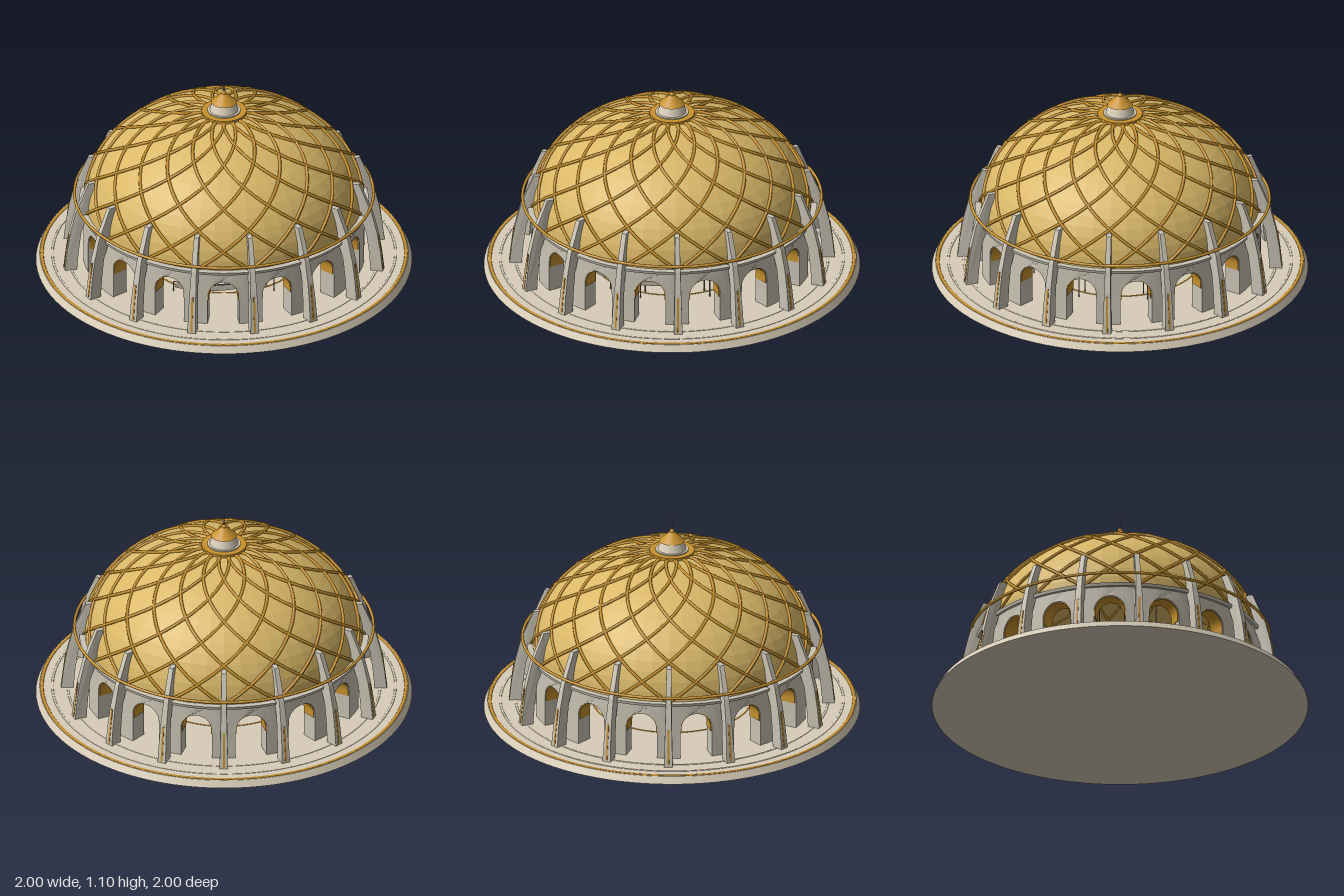
import * as THREE from 'three';
import { toCreasedNormals } from 'three/addons/utils/BufferGeometryUtils.js';

const BAYS = 16, STEP = (Math.PI * 2) / BAYS;
const DOME_R = 0.74, DOME_H = 0.545, DOME_Y = 0.36;
const WALL_R = 0.75, WALL_IN = 0.66, FLOOR = 0.037;

export function createModel() {
  const root = new THREE.Group();
  const mat = (name, color, side = THREE.FrontSide) => {
    const m = new THREE.MeshStandardMaterial({ color, side });
    m.name = name;
    return m;
  };
  const cream = mat('cream stone', 0xd8cdb8);
  const stone = mat('pale stone', 0xcbc4b5);
  const gold = mat('gold trim', 0xc8922e);
  const domeGold = mat('dome gold', 0xdab868, THREE.DoubleSide);
  domeGold.flatShading = true;
  const metal = mat('grey metal', 0x8a8478, THREE.DoubleSide);

  const add = (name, geo, material, y = 0, parent = root) => {
    const m = new THREE.Mesh(geo, material);
    m.name = name;
    m.position.y = y;
    parent.add(m);
    return m;
  };
  const group = (name) => {
    const g = new THREE.Group();
    g.name = name;
    root.add(g);
    return g;
  };
  const cyl = (rTop, rBottom, h, n = 48) => new THREE.CylinderGeometry(rTop, rBottom, h, n).translate(0, h / 2, 0);
  const ring = (r, tube, squash = 1) =>
    new THREE.TorusGeometry(r, tube, 8, 96).rotateX(Math.PI / 2).scale(1, squash, 1);

  // Base plinth with inlaid rings
  add('basePlinth', cyl(0.98, 1, FLOOR, 96), cream);
  add('baseGoldRing', ring(0.968, 0.009, 0.5), gold, FLOOR);
  add('baseOuterStep', ring(0.912, 0.006, 0.5), cream, FLOOR);
  add('baseInnerStep', ring(0.83, 0.006, 0.5), cream, FLOOR);
  add('floorGoldRing', ring(0.42, 0.005, 0.6), gold, FLOOR);
  add('floorMedallion', cyl(0.13, 0.13, 0.012), gold, FLOOR);

  // Wraps a flat extrusion around the drum
  const wrap = (shape, depth, zStart) => {
    const g = new THREE.ExtrudeGeometry(shape, { depth, bevelEnabled: false });
    const p = g.attributes.position;
    for (let i = 0; i < p.count; i++) {
      const a = p.getX(i) / WALL_R, r = zStart + p.getZ(i);
      p.setXYZ(i, Math.sin(a) * r, p.getY(i), Math.cos(a) * r);
    }
    return toCreasedNormals(g, 0.5);
  };
  const half = (WALL_R * STEP) / 2, archR = 0.084, spring = 0.21, wallTop = 0.35;
  const archPoints = (r, n = 16) => Array.from({ length: n + 1 }, (_, i) => {
    const a = (Math.PI * i) / n;
    return new THREE.Vector2(Math.cos(a) * r, spring + Math.sin(a) * r);
  });

  // One bay of the arcade, open at the bottom
  const outline = [new THREE.Vector2(archR, FLOOR), new THREE.Vector2(half, FLOOR)];
  for (let i = 0; i <= 8; i++) outline.push(new THREE.Vector2(half - (i / 8) * 2 * half, wallTop));
  outline.push(new THREE.Vector2(-half, FLOOR), new THREE.Vector2(-archR, FLOOR), ...archPoints(archR).reverse());
  const bayGeo = wrap(new THREE.Shape(outline), WALL_R - WALL_IN, WALL_IN);

  // Gold lining under each arch
  const r2 = archR - 0.005, low = 0.18;
  const liningGeo = wrap(new THREE.Shape([
    new THREE.Vector2(archR, low), ...archPoints(archR), new THREE.Vector2(-archR, low),
    new THREE.Vector2(-r2, low), ...archPoints(r2).reverse(), new THREE.Vector2(r2, low),
  ]), WALL_R - WALL_IN - 0.01, WALL_IN + 0.004);

  // Curved buttress, thinner towards its tip
  const profile = [[0.80, FLOOR], [0.865, FLOOR], [0.853, 0.15], [0.835, 0.26], [0.805, 0.38], [0.735, 0.55],
    [0.69, 0.55], [0.725, 0.45], [0.74, 0.36], [0.775, 0.26], [0.79, 0.15]];
  const buttressGeo = new THREE.ExtrudeGeometry(
    new THREE.Shape(profile.map(([r, y]) => new THREE.Vector2(r, y))), { depth: 1, bevelEnabled: false });
  buttressGeo.translate(0, 0, -0.5);
  const bp = buttressGeo.attributes.position;
  for (let i = 0; i < bp.count; i++) {
    const t = Math.min(1, bp.getY(i) / 0.42);
    bp.setZ(i, bp.getZ(i) * (0.048 - 0.022 * t));
  }
  buttressGeo.computeVertexNormals();

  // Narrow gold strip on the buttress face
  const stripGeo = new THREE.BoxGeometry(0.004, 0.2, 0.01);
  stripGeo.rotateZ(0.12).translate(0.853, 0.145, 0);

  const arcade = group('arcade'), buttresses = group('buttresses');
  for (let k = 0; k < BAYS; k++) {
    add('archBay', bayGeo, stone, 0, arcade).rotation.y = (k + 0.5) * STEP;
    add('archLining', liningGeo, gold, 0, arcade).rotation.y = (k + 0.5) * STEP;
    add('buttress', buttressGeo, stone, 0, buttresses).rotation.y = k * STEP;
    add('buttressStrip', stripGeo, gold, 0, buttresses).rotation.y = k * STEP;
  }

  // Cornice and the gold hoop around the buttresses
  const corniceProfile = [[0.66, 0.345], [0.765, 0.345], [0.77, 0.362], [0.66, 0.362], [0.66, 0.345]];
  add('cornice', toCreasedNormals(new THREE.LatheGeometry(
    corniceProfile.map(([r, y]) => new THREE.Vector2(r, y)), 96), 0.5), stone);
  add('goldHoop', ring(0.795, 0.008), gold, 0.408);

  // Dome shell
  const domePoint = (t, scale = 1) => new THREE.Vector2(
    Math.cos(t) * DOME_R * scale, DOME_Y + Math.sin(t) * DOME_H * scale);
  const shell = Array.from({ length: 17 }, (_, i) => domePoint((i / 16) * Math.PI / 2));
  shell[16].x = 0;
  add('domeShell', new THREE.LatheGeometry(shell, 48), domeGold);

  // Lattice of ribs winding both ways up the dome
  const ribs = group('domeRibs');
  for (const dir of [1, -1]) {
    const pts = Array.from({ length: 25 }, (_, i) => {
      const t = (i / 24) * 1.45, p = domePoint(t, 1.006);
      return new THREE.Vector3(Math.cos(t * dir) * p.x, p.y, Math.sin(t * dir) * p.x);
    });
    const ribGeo = new THREE.TubeGeometry(new THREE.CatmullRomCurve3(pts), 48, 0.0085, 6);
    for (let k = 0; k < BAYS; k++) add('domeRib', ribGeo, gold, 0, ribs).rotation.y = k * STEP;
  }

  // Lantern and spire
  add('lanternRing', cyl(0.12, 0.12, 0.016), gold, 0.9);
  add('lanternCollar', cyl(0.088, 0.088, 0.006), cream, 0.916);
  add('lanternBody', cyl(0.058, 0.078, 0.055, 32), cream, 0.916);
  add('lanternCap', cyl(0.01, 0.068, 0.055, 32), gold, 0.968);
  add('lanternTip', new THREE.SphereGeometry(0.014, 16, 10), gold, 1.022);
  add('spire', cyl(0.002, 0.005, 0.075, 8), metal, 1.025);

  // Interior ramp with handrails and posts
  const ramp = group('interiorRamp');
  const start = Math.PI * 1.25, sweep = Math.PI;
  const rise = (u) => 0.06 + 0.14 * u;
  const deck = new THREE.RingGeometry(0.41, 0.48, 48, 1, start, sweep).rotateX(-Math.PI / 2);
  const dp = deck.attributes.position;
  for (let i = 0; i < dp.count; i++) dp.setY(i, rise((i % 49) / 48));
  deck.computeVertexNormals();
  add('rampDeck', deck, metal, 0, ramp);
  for (const r of [0.41, 0.48]) {
    const at = (u, y) => new THREE.Vector3(Math.cos(start + u * sweep) * r, y, -Math.sin(start + u * sweep) * r);
    const path = Array.from({ length: 17 }, (_, i) => at(i / 16, rise(i / 16) + 0.035));
    add('handrail', new THREE.TubeGeometry(new THREE.CatmullRomCurve3(path), 48, 0.003, 5), metal, 0, ramp);
    for (let i = 0; i <= 8; i++) {
      const u = i / 8, h = rise(u) + 0.035 - FLOOR;
      add('railPost', cyl(0.003, 0.003, h, 6), metal, 0, ramp).position.copy(at(u, FLOOR));
    }
  }

  // Hanging gold ring beneath the dome
  const lamp = group('hangingRing');
  add('lampRing', ring(0.22, 0.007), gold, 0.24, lamp);
  for (let k = 0; k < 4; k++) {
    const a = (k + 0.5) * Math.PI / 2;
    const rod = add('lampRod', cyl(0.002, 0.002, 0.6, 6), metal, 0.24, lamp);
    rod.position.x = Math.cos(a) * 0.22;
    rod.position.z = Math.sin(a) * 0.22;
  }
  return root;
}
